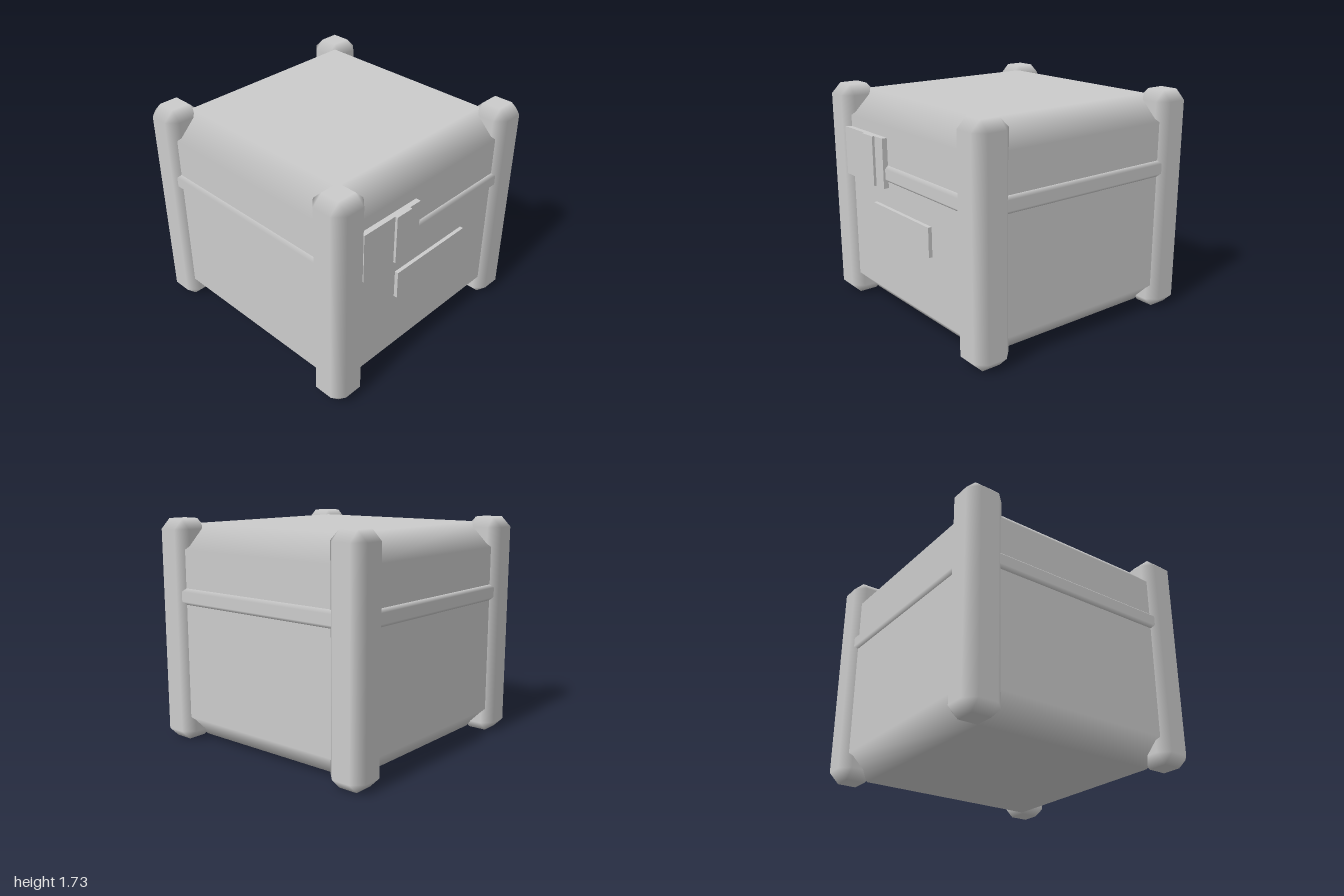
import * as THREE from 'three';

const material = new THREE.MeshStandardMaterial({ color: 0xcccccc });

// Box with cut edges and corners; normals stay axial so the cuts shade softly
function chamferedBox(w, h, d, cut) {
  const half = [w / 2, h / 2, d / 2];
  const positions = [], normals = [], index = [];
  const signs = [-1, 1];
  // One vertex per corner and axis: the one lying on that axis' face
  for (const x of signs) for (const y of signs) for (const z of signs) {
    const s = [x, y, z];
    for (let axis = 0; axis < 3; axis++) {
      for (let k = 0; k < 3; k++) {
        positions.push(s[k] * (half[k] - (k === axis ? 0 : cut)));
        normals.push(k === axis ? s[k] : 0);
      }
    }
  }
  const id = (s, axis) => ((s[0] > 0 ? 4 : 0) + (s[1] > 0 ? 2 : 0) + (s[2] > 0 ? 1 : 0)) * 3 + axis;
  const point = (i) => new THREE.Vector3().fromArray(positions, i * 3);
  // Add a triangle facing away from the centre
  const tri = (a, b, c) => {
    const pa = point(a), pb = point(b), pc = point(c);
    const n = pb.clone().sub(pa).cross(pc.clone().sub(pa));
    if (n.dot(pa) > 0) index.push(a, b, c);
    else index.push(a, c, b);
  };
  const quad = (a, b, c, e) => { tri(a, b, c); tri(a, c, e); };
  const corner = (axis, sa, sb, sc) => {
    const s = [0, 0, 0];
    s[axis] = sa;
    s[(axis + 1) % 3] = sb;
    s[(axis + 2) % 3] = sc;
    return s;
  };

  for (let a = 0; a < 3; a++) {
    const b = (a + 1) % 3;
    for (const s of signs) {
      // Flat face
      quad(id(corner(a, s, -1, -1), a), id(corner(a, s, 1, -1), a),
        id(corner(a, s, 1, 1), a), id(corner(a, s, -1, 1), a));
      // Edge strips between faces a and b
      for (const t of signs) {
        const p = corner(a, s, t, -1), q = corner(a, s, t, 1);
        quad(id(p, a), id(q, a), id(q, b), id(p, b));
      }
    }
  }
  // Corner triangles
  for (const x of signs) for (const y of signs) for (const z of signs) {
    const s = [x, y, z];
    tri(id(s, 0), id(s, 1), id(s, 2));
  }

  const geometry = new THREE.BufferGeometry();
  geometry.setAttribute('position', new THREE.Float32BufferAttribute(positions, 3));
  geometry.setAttribute('normal', new THREE.Float32BufferAttribute(normals, 3));
  geometry.setIndex(index);
  return geometry;
}

export function createModel() {
  const model = new THREE.Group();
  model.name = 'crate';
  const crateZ = -0.004;

  const add = (name, geometry, x, y, z) => {
    const mesh = new THREE.Mesh(geometry, material);
    mesh.name = name;
    mesh.position.set(x, y, z);
    model.add(mesh);
  };
  // Plain box given by its limits
  const slab = (name, x0, x1, y0, y1, z0, z1) =>
    add(name, new THREE.BoxGeometry(x1 - x0, y1 - y0, z1 - z0),
      (x0 + x1) / 2, (y0 + y1) / 2, (z0 + z1) / 2);

  // Main body and the band around it
  add('body', chamferedBox(1.886, 1.692, 1.886, 0.19), 0, 0.851, crateZ);
  add('band', chamferedBox(1.936, 0.13, 1.936, 0.027), 0, 1.15, crateZ);

  // Corner posts
  const post = chamferedBox(0.302, 1.734, 0.302, 0.077);
  for (const [side, sx] of [['Left', 1], ['Right', -1]]) {
    for (const [end, sz] of [['front', 1], ['back', -1]]) {
      add(`${end}${side}Post`, post, sx * 0.845, 0.867, sz * 0.845 + crateZ);
    }
  }

  // Latch with its raised strip, and the label plate below
  slab('latchPlate', -0.75, -0.19, 1.04, 1.42, 0.9, 0.98);
  slab('latchStrip', -0.45, -0.3, 1.04, 1.42, 0.92, 1.0);
  slab('labelPlate', -0.375, 0.375, 0.665, 0.89, 0.9, 0.968);

  return model;
}
